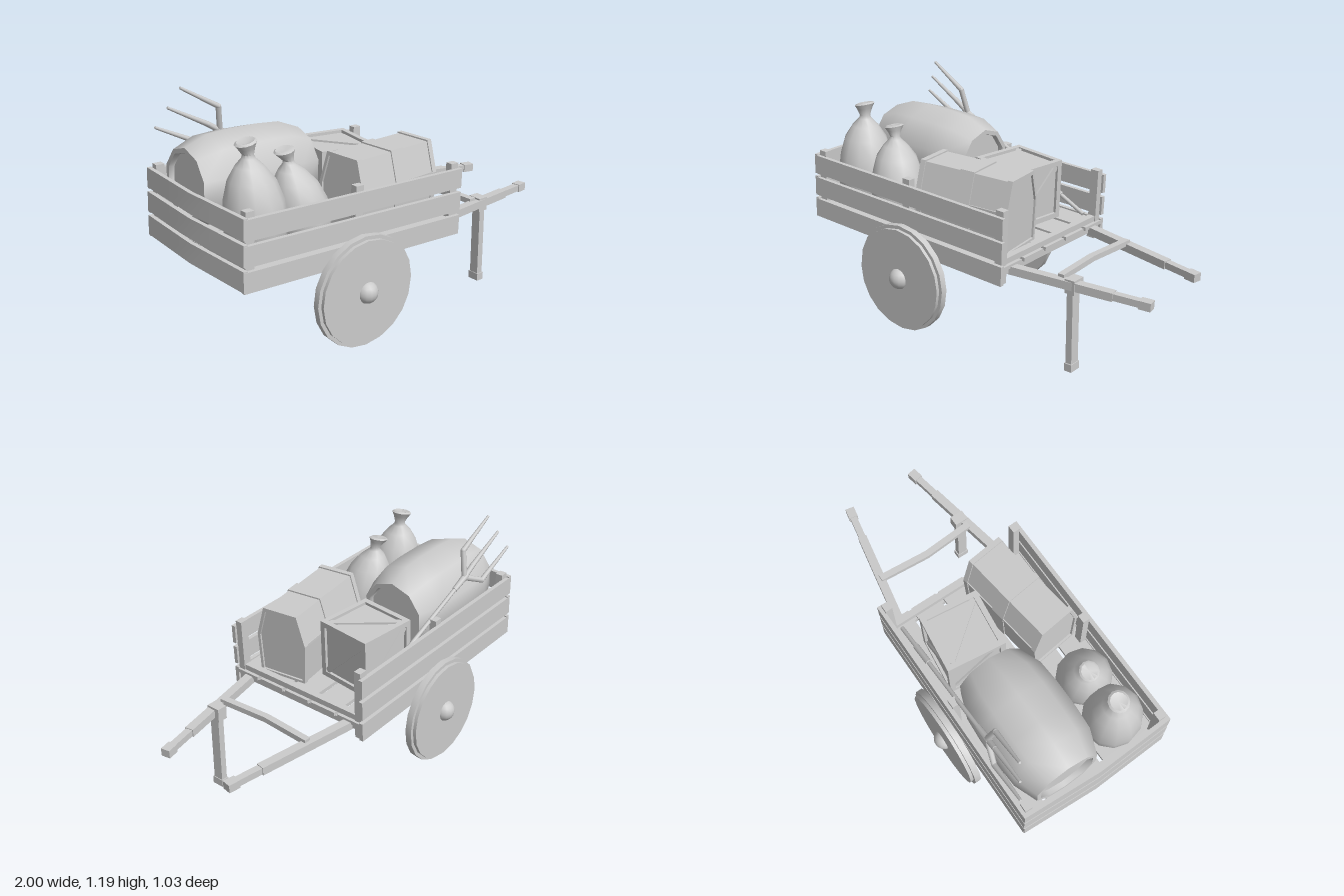
import * as THREE from 'three';
import { toCreasedNormals } from 'three/addons/utils/BufferGeometryUtils.js';

const grey = new THREE.MeshStandardMaterial({ color: 0xcccccc });
const V = (x, y, z) => new THREE.Vector3(x, y, z);

function add(parent, name, geometry, x = 0, y = 0, z = 0) {
  const mesh = new THREE.Mesh(geometry, grey);
  mesh.name = name;
  mesh.position.set(x, y, z);
  parent.add(mesh);
  return mesh;
}

const box = (parent, name, w, h, d, x, y, z) => add(parent, name, new THREE.BoxGeometry(w, h, d), x, y, z);

function group(parent, name, x = 0, y = 0, z = 0) {
  const g = new THREE.Group();
  g.name = name;
  g.position.set(x, y, z);
  parent.add(g);
  return g;
}

// Square beam between two points
function beam(parent, name, a, b, w, h) {
  const mesh = new THREE.Mesh(new THREE.BoxGeometry(w, h, a.distanceTo(b)), grey);
  mesh.name = name;
  mesh.position.copy(a).lerp(b, 0.5);
  mesh.lookAt(b);
  parent.add(mesh);
}

// Round tapered rod between two points
function rod(parent, name, a, b, ra, rb) {
  const geo = new THREE.CylinderGeometry(rb, ra, a.distanceTo(b), 8);
  const mesh = add(parent, name, geo);
  mesh.position.copy(a).lerp(b, 0.5);
  mesh.quaternion.setFromUnitVectors(V(0, 1, 0), b.clone().sub(a).normalize());
}

// Board running along z whose middle is pushed along x
function bentBoard(w, h, d, bend) {
  const geo = new THREE.BoxGeometry(w, h, d, 1, 1, 4);
  const p = geo.attributes.position;
  for (let i = 0; i < p.count; i++) {
    p.setX(i, p.getX(i) + bend * (1 - Math.abs(p.getZ(i)) / (d / 2)));
  }
  geo.computeVertexNormals();
  return geo;
}

const FLOOR = -0.08;

function buildBed(cart) {
  for (let row = -1; row <= 1; row++) {
    for (const s of [-1, 1]) box(cart, 'sidePlank', 1.28, 0.1, 0.022, 0.01, row * 0.122, s * 0.411);
    add(cart, 'rearPlank', bentBoard(0.022, 0.1, 0.84, -0.02), -0.622, row * 0.122 + 0.006, 0);
  }
  for (const s of [-1, 1]) {
    for (const x of [-0.59, 0.015, 0.615]) box(cart, 'post', 0.045, 0.375, 0.038, x, 0.012, s * 0.384);
  }
  for (let i = -2; i <= 2; i++) box(cart, 'floorSlat', 1.26, 0.02, 0.15, 0.02, FLOOR - 0.01, i * 0.17);
  for (const x of [-0.59, 0.615]) {
    box(cart, 'underBeam', 0.05, 0.028, 0.78, x, FLOOR - 0.033, 0);
    box(cart, 'floorRail', 0.035, 0.03, 0.8, x, FLOOR + 0.015, 0);
  }
}

// Solid disc wheels with domed hubs
function buildWheels(root) {
  for (const s of [-1, 1]) {
    const wheel = group(root, s > 0 ? 'leftWheel' : 'rightWheel', -0.335, 0.283, 0);
    const disc = (name, r, d, z) => add(wheel, name,
      toCreasedNormals(new THREE.CylinderGeometry(r, r, d, 20).rotateX(Math.PI / 2), 0.6), 0, 0, s * z);
    disc('rim', 0.283, 0.034, 0.44);
    disc('face', 0.265, 0.02, 0.465);
    add(wheel, 'hub', new THREE.SphereGeometry(0.056, 14, 10), 0, 0, s * 0.462);
  }
}

// Two converging shafts, their crossbar and a single prop leg
function buildShafts(root) {
  for (const s of [-1, 1]) {
    const at = t => V(0.15, 0.465, s * 0.352).lerp(V(0.99, 0.428, s * 0.2), t);
    beam(root, 'shaft', at(0), at(0.78), 0.046, 0.042);
    beam(root, 'grip', at(0.77), at(0.94), 0.036, 0.034);
    beam(root, 'gripEnd', at(0.93), at(1), 0.048, 0.042);
  }
  add(root, 'crossbar', bentBoard(0.035, 0.028, 0.56, -0.02), 0.535, 0.47, -0.005);
  const leg = group(root, 'propLeg', 0.597, 0, 0.26);
  box(leg, 'legPost', 0.034, 0.42, 0.054, 0, 0.22, 0);
  box(leg, 'legFoot', 0.042, 0.04, 0.066, 0, 0.02, 0);
  box(leg, 'legCollar', 0.055, 0.072, 0.074, 0, 0.44, -0.005);
}

// Lying barrel with recessed heads
function buildBarrel(cart) {
  const half = [[0.15, 0.295], [0.155, 0.322], [0.178, 0.322], [0.226, 0.2], [0.234, 0.08]];
  const points = [[0, 0.295], ...half, ...half.slice().reverse().map(([r, y]) => [r, -y]), [0, -0.295]]
    .map(([r, y]) => new THREE.Vector2(r, y)).reverse();
  const geo = toCreasedNormals(new THREE.LatheGeometry(points, 10, Math.PI / 10), 0.75);
  geo.rotateZ(Math.PI / 2);
  add(cart, 'barrel', geo, -0.262, FLOOR + 0.24, -0.147);
}

// Framed crate with a diagonal brace on each visible face
function buildCrate(cart) {
  const S = 0.315, T = 0.028, crate = group(cart, 'crate', 0.285, FLOOR + S / 2, -0.152);
  crate.rotation.y = -0.115;
  box(crate, 'crateCore', S - 0.03, S - 0.03, S - 0.03, 0, 0, 0);
  const e = (S - T) / 2;
  for (const a of [-e, e]) for (const b of [-e, e]) {
    box(crate, 'crateEdge', S, T, T, 0, a, b);
    box(crate, 'crateEdge', T, S, T, a, 0, b);
    box(crate, 'crateEdge', T, T, S, a, b, 0);
  }
  for (let i = 0; i < 5; i++) {
    const face = group(crate, 'crateFace');
    if (i < 4) face.rotation.y = i * Math.PI / 2;
    else face.rotation.x = -Math.PI / 2;
    const brace = box(face, 'crateBrace', 0.355, 0.03, 0.012, 0, 0, S / 2 - 0.011);
    brace.rotation.z = (i < 4 ? 1 : -1) * Math.PI / 4;
  }
}

// Chest with sloped lid and raised bands
function buildChest(cart) {
  const chest = group(cart, 'chest', 0.3, FLOOR, 0.2);
  chest.rotation.y = 0.13;
  const outline = (Base, k) => new Base([[-0.128, 0], [0.128, 0], [0.138, 0.215], [0.094, 0.368], [-0.094, 0.368], [-0.138, 0.215]]
    .map(([x, y]) => new THREE.Vector2(x * k, 0.184 + (y - 0.184) * k)));
  const slice = (name, shape, length, x) => {
    const geo = new THREE.ExtrudeGeometry(shape, { depth: length, bevelEnabled: false });
    geo.translate(0, 0, -length / 2).rotateY(Math.PI / 2);
    add(chest, name, geo, x, 0, 0);
  };
  slice('chestBody', outline(THREE.Shape, 1), 0.51, 0);
  slice('chestBand', outline(THREE.Shape, 1.04), 0.08, 0.01);
  for (const s of [-1, 1]) {
    const ring = outline(THREE.Shape, 1.04);
    ring.holes.push(outline(THREE.Path, 0.93));
    slice('chestEndBand', ring, 0.028, s * 0.252);
  }
  // Seam between box and lid
  for (const s of [-1, 1]) box(chest, 'lidSeam', 0.5, 0.012, 0.008, 0, 0.215, s * 0.138);
}

// Pear-shaped tied sack that leans toward its neck
function buildSack(cart, name, x, z, r, h, leanX, leanZ) {
  const profile = [[0, 0], [0.72, 0], [0.95, 0.14], [1, 0.3], [0.93, 0.48], [0.74, 0.66], [0.46, 0.78],
    [0.22, 0.85], [0.18, 0.88], [0.26, 0.94], [0.35, 0.985], [0.28, 1], [0, 0.975]];
  const geo = new THREE.LatheGeometry(profile.map(([a, b]) => new THREE.Vector2(a * r, b * h)), 12);
  const p = geo.attributes.position;
  for (let i = 0; i < p.count; i++) {
    const t = (p.getY(i) / h) ** 2;
    p.setX(i, p.getX(i) + leanX * t);
    p.setZ(i, p.getZ(i) + leanZ * t);
    // Uneven mouth
    if (t > 0.85) p.setY(i, p.getY(i) + 0.25 * (p.getX(i) - leanX * t));
  }
  geo.computeVertexNormals();
  add(cart, name, toCreasedNormals(geo, 0.9), x, FLOOR, z);
}

// Three-tined fork leaning against the right side
function buildFork(root) {
  const fork = group(root, 'pitchfork');
  const foot = V(0.22, 0.525, -0.347), neck = V(-0.59, 0.925, -0.37);
  const at = t => foot.clone().lerp(neck, t);
  rod(fork, 'forkHandle', foot, neck, 0.011, 0.011);
  rod(fork, 'forkGrip', at(0.18), at(0.34), 0.016, 0.016);
  rod(fork, 'forkSocket', at(0.9), at(1.02), 0.014, 0.018);
  for (let i = 0; i < 3; i++) {
    const elbow = V(-0.61 - 0.045 * i, 1.06 - 0.09 * i, -0.34 - 0.033 * i);
    const tip = V(-0.81 - 0.055 * i, 1.185 - 0.095 * i, -0.35 - 0.032 * i);
    rod(fork, 'tineRoot', neck, elbow, 0.015, 0.014);
    add(fork, 'tineElbow', new THREE.SphereGeometry(0.0145, 8, 6), elbow.x, elbow.y, elbow.z);
    rod(fork, 'tine', elbow, tip, 0.014, 0.007);
  }
}

export function createModel() {
  const root = new THREE.Group();
  root.name = 'handcart';
  // Bed and cargo tilt slightly forward
  const cart = group(root, 'bed', -0.35, 0.6, 0);
  cart.rotation.z = -0.0436;
  buildBed(cart);
  buildBarrel(cart);
  buildCrate(cart);
  buildChest(cart);
  buildSack(cart, 'largeSack', -0.44, 0.23, 0.15, 0.525, -0.04, -0.03);
  buildSack(cart, 'smallSack', -0.19, 0.245, 0.142, 0.45, -0.08, -0.05);
  buildWheels(root);
  buildShafts(root);
  buildFork(root);
  return root;
}
